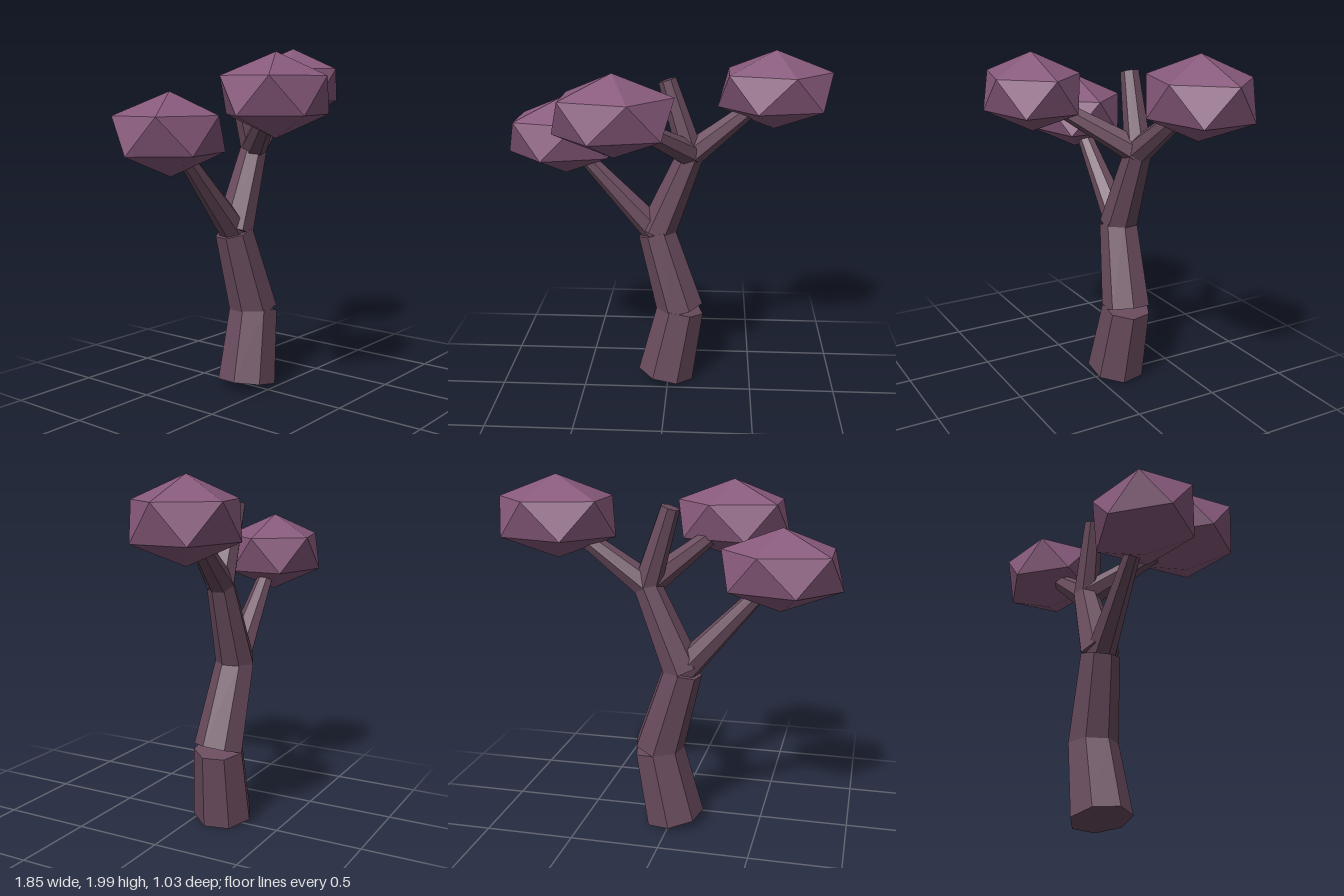
import * as THREE from 'three';

const bark = new THREE.MeshStandardMaterial({ color: 0x6a4c5e, flatShading: true });
bark.name = 'bark';
const leaf = new THREE.MeshStandardMaterial({ color: 0x885a7c, flatShading: true });
leaf.name = 'foliage';

const SIDES = 7;
const UP = new THREE.Vector3(0, 1, 0);

// Tapered seven-sided limb running from point a to point b
function limb(name, a, b, rA, rB) {
  const start = new THREE.Vector3(...a);
  const dir = new THREE.Vector3(...b).sub(start);
  const length = dir.length();
  const geo = new THREE.CylinderGeometry(rB, rA, length, SIDES, 1, false, Math.PI);
  geo.translate(0, length / 2, 0);
  const mesh = new THREE.Mesh(geo, bark);
  mesh.name = name;
  mesh.position.copy(start);
  mesh.quaternion.setFromUnitVectors(UP, dir.normalize());
  return mesh;
}

// Icosahedron stood on one corner, then stretched sideways
const clumpGeo = new THREE.IcosahedronGeometry(1, 0);
clumpGeo.rotateZ(-Math.atan(2 / (1 + Math.sqrt(5))));
clumpGeo.scale(0.363, 0.223, 0.297);

function clump(name, center) {
  const mesh = new THREE.Mesh(clumpGeo, leaf);
  mesh.name = name;
  mesh.position.set(...center);
  return mesh;
}

export function createModel() {
  const tree = new THREE.Group();
  tree.name = 'tree';

  // Joints of the crooked trunk
  const foot = [-0.015, 0.037, -0.149];
  const knee = [0.072, 0.463, -0.166];
  const elbow = [-0.07, 0.94, -0.193];
  const fork = [0.125, 1.41, -0.2];
  const tip = [-0.01, 1.835, -0.22];

  // Centres of the foliage clumps
  const left = [0.6, 1.777, -0.262];
  const right = [-0.6, 1.52, -0.182];
  const front = [-0.27, 1.722, 0.26];

  tree.add(
    limb('lowerTrunk', foot, knee, 0.171, 0.143),
    limb('middleTrunk', knee, elbow, 0.143, 0.112),
    limb('upperTrunk', elbow, fork, 0.112, 0.078),
    limb('topStub', fork, tip, 0.078, 0.053),
    limb('leftBranch', fork, left, 0.078, 0.035),
    limb('frontBranch', fork, front, 0.078, 0.035),
    limb('rightBranch', elbow, right, 0.085, 0.033),
    clump('leftFoliage', left),
    clump('rightFoliage', right),
    clump('frontFoliage', front)
  );
  return tree;
}
